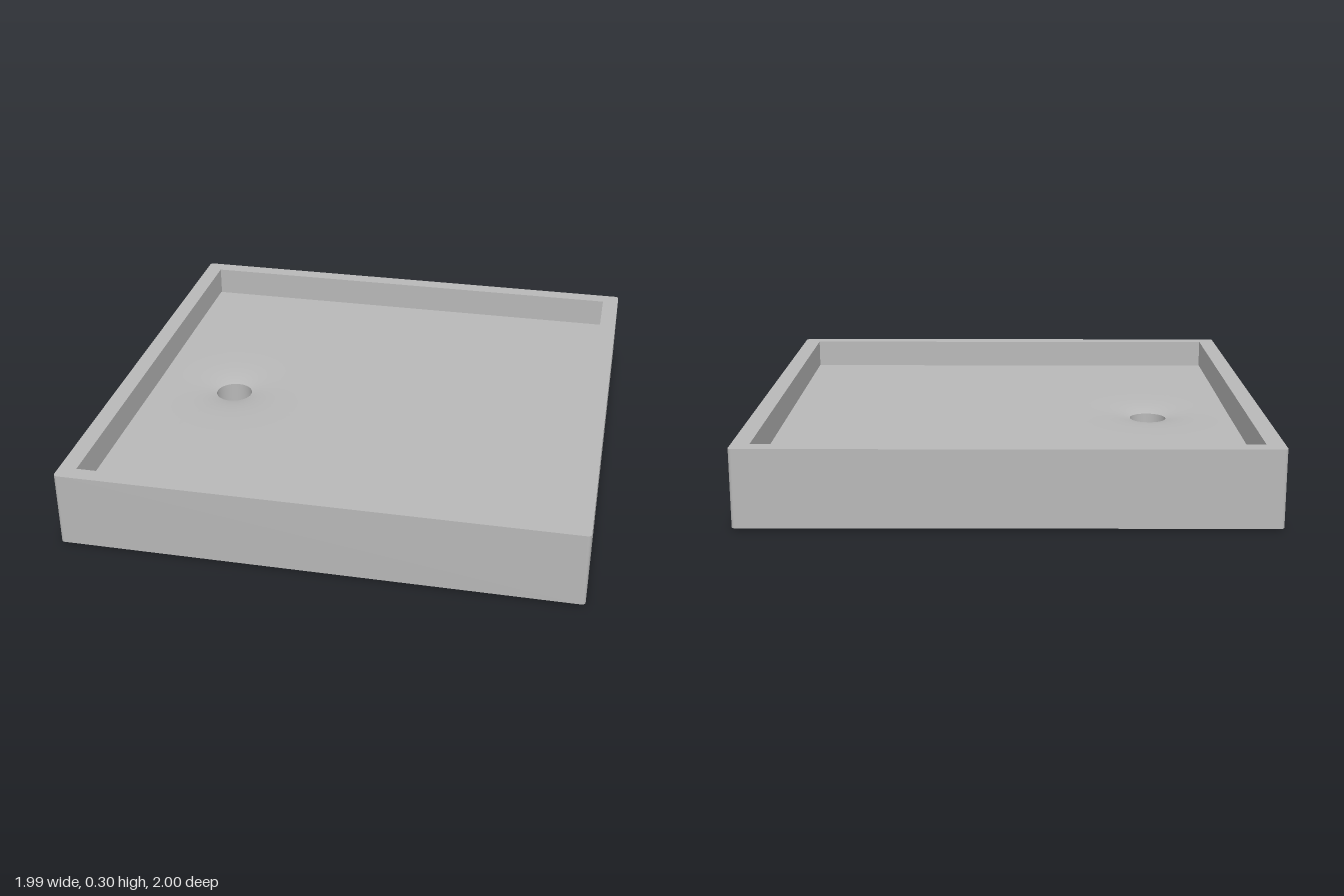
import * as THREE from 'three';

const DRAIN_X = -0.59, DRAIN_R = 0.075;
const FLOOR_Y = 0.185, DIP = 0.027, DRAIN_Y = 0.04;
const HALF = 0.925, RIM_BASE = 0.005, HEIGHT = 0.3;

// Skins a list of closed rings, each an array of Vector3
function loft(rings) {
  const n = rings[0].length, index = [];
  for (let i = 0; i < rings.length - 1; i++) {
    for (let j = 0; j < n; j++) {
      const k = (j + 1) % n;
      const a = i * n + j, b = i * n + k, c = a + n, d = b + n;
      index.push(a, b, c, b, d, c);
    }
  }
  const geo = new THREE.BufferGeometry().setFromPoints(rings.flat());
  geo.setIndex(index);
  geo.computeVertexNormals();
  return geo;
}

function roundedRect(w, d, r) {
  const s = new THREE.Shape();
  s.moveTo(-w + r, -d);
  s.lineTo(w - r, -d);
  s.absarc(w - r, -d + r, r, -Math.PI / 2, 0);
  s.lineTo(w, d - r);
  s.absarc(w - r, d - r, r, 0, Math.PI / 2);
  s.lineTo(-w + r, d);
  s.absarc(-w + r, d - r, r, Math.PI / 2, Math.PI);
  s.lineTo(-w, -d + r);
  s.absarc(-w + r, -d + r, r, Math.PI, Math.PI * 1.5);
  return s;
}

export function createModel() {
  const tray = new THREE.Group();
  tray.name = 'showerTray';
  const grey = new THREE.MeshStandardMaterial({ color: 0xb8b8b8 });
  grey.name = 'grey';

  const add = (name, geo) => {
    const mesh = new THREE.Mesh(geo, grey);
    mesh.name = name;
    tray.add(mesh);
    return mesh;
  };

  // Raised frame around the tray
  const outline = roundedRect(0.993, 1, 0.015);
  const opening = [[-HALF, -0.935], [-HALF, 0.935], [HALF, 0.935], [HALF, -0.935]];
  outline.holes.push(new THREE.Path(opening.map(([x, y]) => new THREE.Vector2(x, y))));
  const rim = new THREE.ExtrudeGeometry(outline, {
    depth: HEIGHT - RIM_BASE, bevelEnabled: false, curveSegments: 5,
  });
  rim.rotateX(-Math.PI / 2).translate(0, RIM_BASE, 0);
  add('rim', rim);

  // Directions around the drain, with the four floor corners included
  const angles = [];
  for (let i = 0; i < 96; i++) angles.push(-Math.PI + (i + 0.5) / 96 * Math.PI * 2);
  for (const x of [-HALF, HALF]) {
    for (const z of [-HALF, HALF]) angles.push(Math.atan2(z, x - DRAIN_X));
  }
  angles.sort((a, b) => a - b);

  // Distance from the drain centre to the floor edge
  const reach = (a) => {
    const c = Math.cos(a), s = Math.sin(a);
    const rx = ((c > 0 ? HALF : -HALF) - DRAIN_X) / c;
    return Math.min(rx, HALF / Math.abs(s));
  };
  const ring = (radius, height) => angles.map((a) => {
    const r = radius(a);
    return new THREE.Vector3(DRAIN_X + r * Math.cos(a), height(r), r * Math.sin(a));
  });
  const floorY = (r) => FLOOR_Y - DIP * Math.exp(-(r - DRAIN_R) / 0.09);

  // Floor dipping towards the drain
  const floorRings = [];
  for (let i = 0; i <= 24; i++) {
    const t = Math.pow(i / 24, 2.2);
    floorRings.push(ring((a) => DRAIN_R + (reach(a) - DRAIN_R) * t, floorY));
  }
  add('floor', loft(floorRings));

  // Edge of the floor slab, with sharp corners
  const skirt = loft([floorRings[24], ring(reach, () => 0)]).toNonIndexed();
  skirt.computeVertexNormals();
  add('floorEdge', skirt);

  // Drain well and its base
  add('drainWall', loft([ring(() => DRAIN_R, () => DRAIN_Y), floorRings[0]]));
  const base = new THREE.CircleGeometry(DRAIN_R, 64).rotateX(-Math.PI / 2);
  add('drainBase', base.translate(DRAIN_X, DRAIN_Y, 0));

  // Underside, standing slightly below the rim
  add('underside', new THREE.PlaneGeometry(HALF * 2, HALF * 2).rotateX(Math.PI / 2));

  return tray;
}
